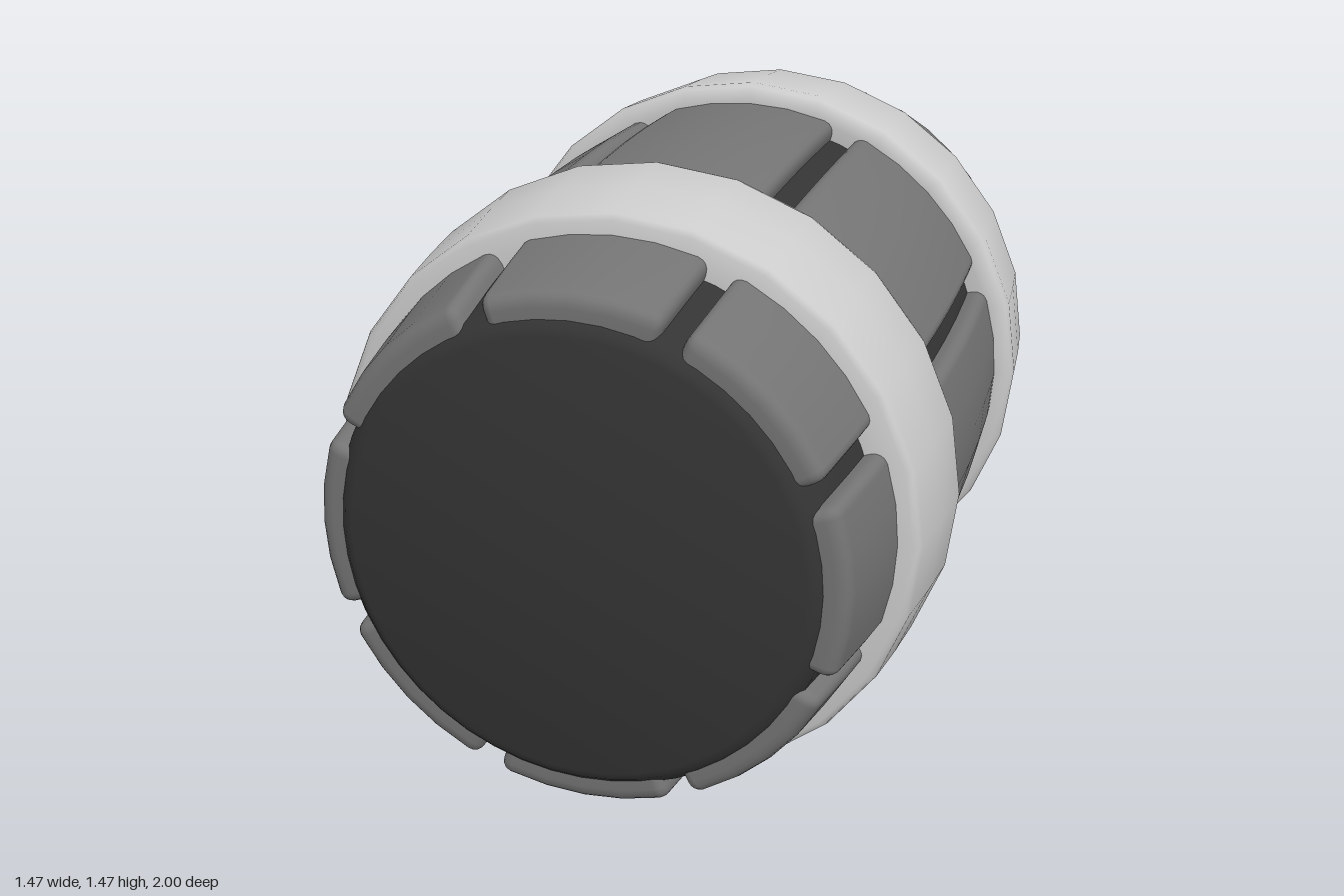
import * as THREE from 'three';
import { mergeVertices, toCreasedNormals } from 'three/addons/utils/BufferGeometryUtils.js';

const AXIS_Y = 0.737;
const material = (color) => new THREE.MeshStandardMaterial({ color });

// Bulging barrel profile: radius falls off towards both ends
const bulge = (radius, z) => radius - 0.09 * z * z;

// Spin a (radius, z) profile around the barrel's z axis
function spin(profile, segments, crease) {
  const points = profile.map(([r, z]) => new THREE.Vector2(r, z));
  const geometry = new THREE.LatheGeometry(points, segments).rotateX(Math.PI / 2);
  return toCreasedNormals(geometry, crease);
}

// Grid line spacing with two narrow segments at each end for the rounded edge
function gridLine(t, n, half, r) {
  const k = Math.round((t + 0.5) * n);
  if (k <= 2) return -half + (k * r) / 2;
  if (k >= n - 2) return half - ((n - k) * r) / 2;
  return -(half - r) + (2 * (half - r) * (k - 2)) / (n - 4);
}

// Rounded plank, bent around the barrel and along its bulge
function staveGeometry() {
  const segs = [8, 5, 16];
  const half = new THREE.Vector3(0.24, 0.055, 0.98);
  const r = 0.032;
  let geometry = new THREE.BoxGeometry(1, 1, 1, ...segs);
  geometry.deleteAttribute('normal');
  geometry.deleteAttribute('uv');
  geometry = mergeVertices(geometry);
  const pos = geometry.attributes.position;
  const p = new THREE.Vector3();
  const inner = half.clone().subScalar(r);
  const core = new THREE.Vector3();
  for (let i = 0; i < pos.count; i++) {
    p.fromBufferAttribute(pos, i);
    p.set(
      gridLine(p.x, segs[0], half.x, r),
      gridLine(p.y, segs[1], half.y, r),
      gridLine(p.z, segs[2], half.z, r)
    );
    core.copy(p).clamp(inner.clone().negate(), inner);
    p.sub(core).setLength(r).add(core);
    const angle = p.x / 0.69;
    const radius = bulge(0.70, p.z) - half.y + p.y;
    pos.setXYZ(i, Math.sin(angle) * radius, Math.cos(angle) * radius, p.z);
  }
  geometry.computeVertexNormals();
  return geometry;
}

export function createModel() {
  const model = new THREE.Group();
  model.name = 'barrel';
  const barrel = new THREE.Group();
  barrel.name = 'barrelBody';
  barrel.position.y = AXIS_Y;
  model.add(barrel);

  const add = (name, geometry, mat) => {
    const mesh = new THREE.Mesh(geometry, mat);
    mesh.name = name;
    barrel.add(mesh);
    return mesh;
  };

  // Dark inner barrel with softened end rims
  const profile = [[0, -1], [0.525, -1], [0.543, -0.994], [0.556, -0.98]];
  for (let i = 0; i <= 12; i++) {
    const z = -0.96 + 0.16 * i;
    profile.push([bulge(0.655, z), z]);
  }
  profile.push([0.556, 0.98], [0.543, 0.994], [0.525, 1], [0, 1]);
  add('innerBarrel', spin(profile, 48, 0.75), material(0x343434));

  // Eight staves
  const stave = staveGeometry();
  const staveMaterial = material(0x747474);
  for (let i = 0; i < 8; i++) {
    add('stave' + (i + 1), stave, staveMaterial).rotation.z = (i * Math.PI) / 4;
  }

  // Two tapered hoops, mirrored front to back
  const hoop = [
    [0.61, 0.38], [0.685, 0.365], [0.715, 0.37], [0.73, 0.381], [0.736, 0.40],
    [0.724, 0.54], [0.708, 0.677], [0.702, 0.694], [0.688, 0.703], [0.61, 0.703], [0.61, 0.38],
  ];
  const hoopGeometry = spin(hoop, 24, 0.75);
  const hoopMaterial = material(0xcccccc);
  add('frontHoop', hoopGeometry, hoopMaterial);
  add('backHoop', hoopGeometry, hoopMaterial).rotation.y = Math.PI;

  return model;
}
